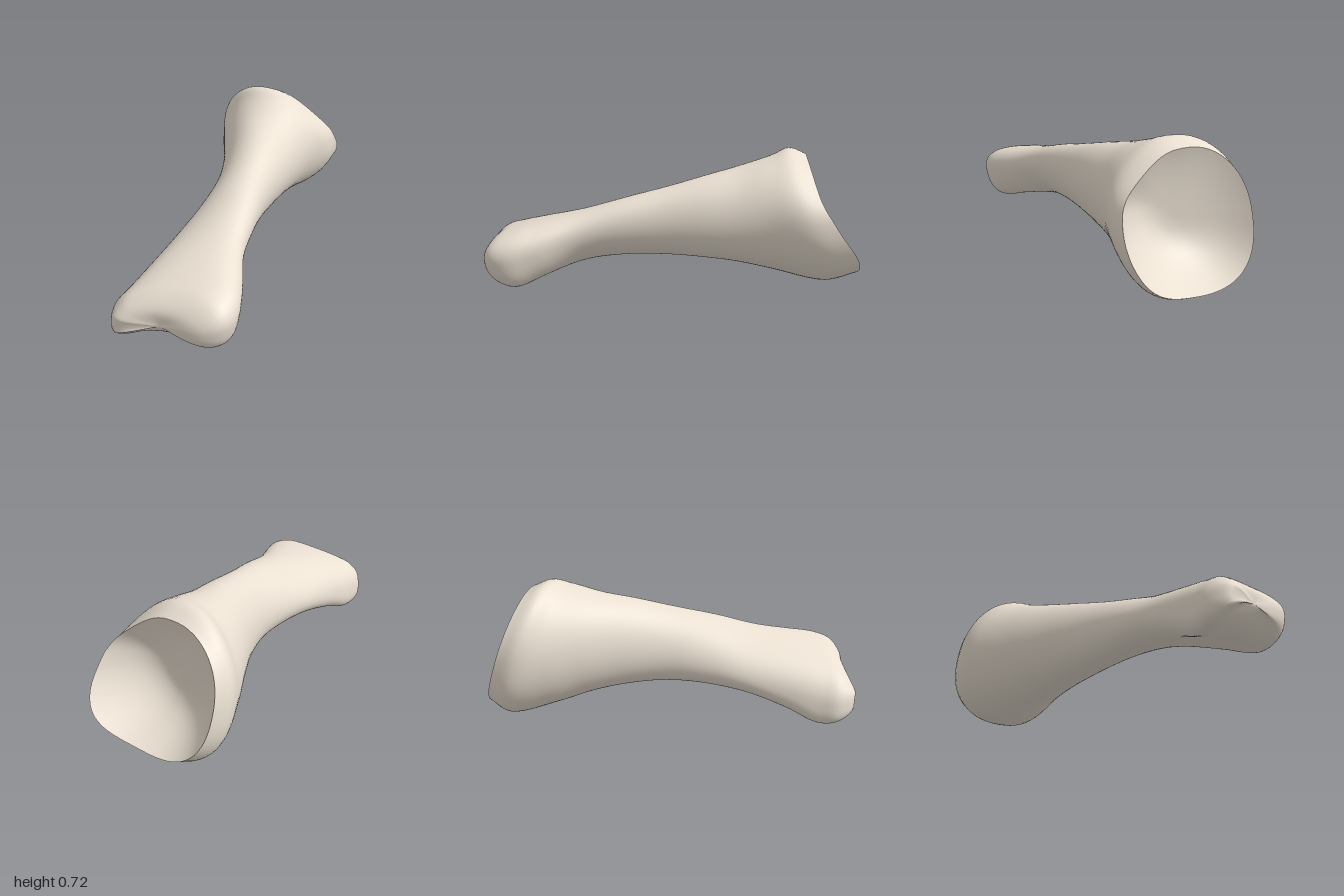
import * as THREE from 'three';
import { mergeVertices } from 'three/addons/utils/BufferGeometryUtils.js';

const { lerp, smoothstep } = THREE.MathUtils;
const AROUND = 64;
const v3 = (x, y, z) => new THREE.Vector3(x, y, z);
const power = (value, exponent) => Math.sign(value) * Math.abs(value) ** exponent;

// Skewed ovals from back to front:
// z, centre x, centre y, half width, half height, sideways lean, side slope
const SECTIONS = [
  [-0.82, -0.205, 0.385, 0.335, 0.32, 0.01, 0.03],
  [-0.7, -0.2, 0.37, 0.35, 0.367, 0.03, 0.02],
  [-0.53, -0.165, 0.375, 0.3, 0.322, 0.02, 0.005],
  [-0.38, -0.105, 0.375, 0.25, 0.275, 0.01, 0],
  [-0.2, -0.024, 0.368, 0.2, 0.235, 0.01, 0.01],
  [0, 0.049, 0.35, 0.17, 0.197, 0.015, 0.02],
  [0.2, 0.105, 0.324, 0.178, 0.172, 0.033, 0.02],
  [0.42, 0.158, 0.278, 0.208, 0.155, 0.047, 0.015],
  [0.61, 0.228, 0.217, 0.258, 0.172, 0.035, 0.02],
  [0.75, 0.265, 0.17, 0.288, 0.187, 0.03, 0.03],
  [0.85, 0.268, 0.167, 0.278, 0.155, 0.03, 0.03],
  [0.92, 0.27, 0.17, 0.205, 0.085, 0.015, 0.02],
];

// One closed ring; the flare tilts with its rim, the head turns boxy and two-lobed
function ring([z, cx, cy, rx, ry, lean, slope]) {
  const flare = 1 - smoothstep(z, -0.82, -0.45);
  const head = smoothstep(z, 0.4, 0.8);
  return Array.from({ length: AROUND }, (_, i) => {
    const angle = i / AROUND * Math.PI * 2;
    const squareness = 0.14 * flare + (angle > Math.PI ? 0.3 : 0.14) * head;
    const c = power(Math.cos(angle), 1 - squareness);
    const s = power(Math.sin(angle), 1 - squareness);
    const shoulderCut = 0.07 * flare * Math.max(0, Math.cos(angle - Math.PI / 4)) ** 4;
    const underNotch = 0.075 * head * Math.max(0, -s) ** 8;
    const x = cx + rx * c + lean * s - 0.5 * shoulderCut;
    const y = cy + ry * s + slope * c + underNotch - shoulderCut;
    const rimCorner = 0.1 * Math.max(0, Math.cos(angle + 0.65)) ** 4;
    const rimTilt = 0.36 * (y - 0.35) - 0.15 * (x + 0.2) - rimCorner;
    const across = Math.max(x, 0.08);
    const headTilt = 0.24 * (0.26 - across) + 0.8 * (across - 0.32) ** 2;
    return v3(x, y, z + flare * rimTilt + head * headTilt);
  });
}

// Skin a list of rings, smoothing along the length with `steps` rows per ring
function loft(rings, steps) {
  const rows = (rings.length - 1) * steps;
  const positions = [], index = [];
  const columns = rings[0].map((_, i) => new THREE.CatmullRomCurve3(rings.map((r) => r[i])));
  for (let r = 0; r <= rows; r++) {
    for (const column of columns) positions.push(...column.getPoint(r / rows).toArray());
  }
  for (let r = 0; r < rows; r++) {
    for (let i = 0; i < AROUND; i++) {
      const a = r * AROUND + i, b = r * AROUND + (i + 1) % AROUND;
      index.push(a, b, b + AROUND, a, b + AROUND, a + AROUND);
    }
  }
  const geometry = new THREE.BufferGeometry();
  geometry.setAttribute('position', new THREE.Float32BufferAttribute(positions, 3));
  geometry.setIndex(index);
  const merged = mergeVertices(geometry, 1e-5);
  merged.computeVertexNormals();
  return merged;
}

export function createModel() {
  const group = new THREE.Group();
  group.name = 'bone';
  const material = new THREE.MeshStandardMaterial({ color: 0xeae0d2 });
  const add = (name, geometry) => {
    const mesh = new THREE.Mesh(geometry, material);
    mesh.name = name;
    group.add(mesh);
  };

  // Shaft with flared base and two-lobed head, closed at the front
  const rings = SECTIONS.map(ring);
  const headCentre = v3(0.27, 0.175, 0.925);
  add('shaftAndHead', loft([...rings, Array(AROUND).fill(headCentre)], 6));

  // Concave joint socket, sinking steeply from the rim to a flat floor
  const floor = v3(-0.2, 0.36, -0.66);
  const bowl = [1, 0.85, 0.65, 0.45, 0.28, 0.14, 0.05, 0].map((t) => rings[0].map((p) => v3(
    lerp(p.x, floor.x, t),
    lerp(p.y, floor.y, t),
    lerp(p.z, floor.z, 1 - (1 - t) ** 3),
  )));
  add('jointSocket', loft(bowl, 3));

  return group;
}
